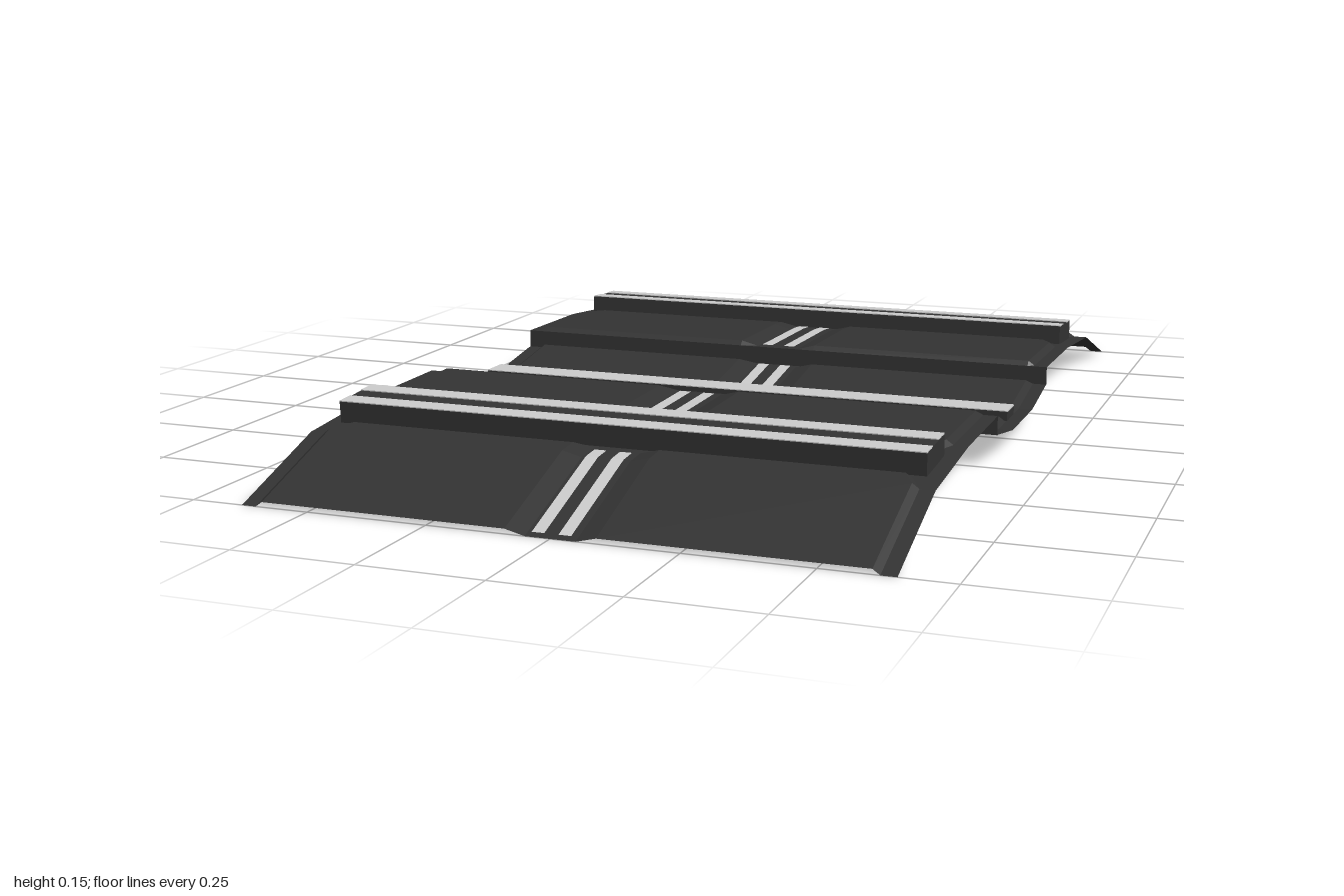
import * as THREE from 'three';

const dark = new THREE.MeshStandardMaterial({ color: 0x333333, flatShading: true, side: THREE.DoubleSide });
const light = new THREE.MeshStandardMaterial({ color: 0xcccccc, flatShading: true, side: THREE.DoubleSide });

// Rows from the middle outwards: z, base height, panel relief, half width of the raised panel
const half = [
  [0, 0.047, 0.01, 0.605], [0.1, 0.047, 0.01, 0.605], [0.24, 0.07, 0.01, 0.605],
  [0.25, 0.071, 0, 0.605], [0.25, 0.111, 0, 0.605], [0.26, 0.111, 0.01, 0.605],
  [0.5, 0.108, 0.01, 0.605], [0.55, 0.104, 0.01, 0.58], [0.56, 0.103, 0, 0.57],
  [0.69, 0.092, 0, 0.57], [0.7, 0.091, 0.01, 0.58], [0.75, 0.087, 0.01, 0.605],
  [1, 0.002, 0.01, 0.605],
];
const rows = [...half.slice(1).reverse().map(([z, ...r]) => [-z, ...r]), ...half];

// Base height at z, taken inside or outside the step
function baseAt(z) {
  const a = Math.abs(z);
  for (let i = 1; i < half.length; i++) {
    const [z0, y0] = half[i - 1], [z1, y1] = half[i];
    if (a <= z1 && z1 > z0) return y0 + (y1 - y0) * (a - z0) / (z1 - z0);
  }
  return half[half.length - 1][1];
}

// Joins equal-length cross-sections, ordered by rising z and rising x, into a surface
function loft(sections) {
  const n = sections[0].length, index = [];
  for (let j = 0; j < sections.length - 1; j++) {
    for (let i = 0; i < n - 1; i++) {
      const a = j * n + i, b = a + n;
      index.push(a, b, a + 1, a + 1, b, b + 1);
    }
  }
  const g = new THREE.BufferGeometry();
  g.setAttribute('position', new THREE.Float32BufferAttribute(sections.flat(2), 3));
  g.setIndex(index);
  g.computeVertexNormals();
  return g;
}

function add(parent, name, geometry, material, x = 0, y = 0, z = 0) {
  const m = new THREE.Mesh(geometry, material);
  m.name = name;
  m.position.set(x, y, z);
  parent.add(m);
  return m;
}

export function createModel() {
  const model = new THREE.Group();
  model.name = 'panelledSheet';

  // Bent sheet with raised panels, low side margins and a centre groove
  add(model, 'sheet', loft(rows.map(([z, y, r, e]) => [
    [-0.642, 0], [-e - 0.007, 0], [-e + 0.007, r], [-0.09, r], [-0.05, 0],
    [0.05, 0], [0.09, r], [e - 0.007, r], [e + 0.007, 0], [0.642, 0],
  ].map(([x, d]) => [x, y + d, z]))), dark);

  // Pairs of narrow strips along the groove, shown above and below the sheet
  const spans = [[0.055, 0.1, 0.24], [0.265, 0.5, 0.545], [0.71, 0.75, 0.99]];
  for (const span of spans) {
    for (const side of [1, -1]) {
      const zs = side > 0 ? span : span.map(z => -z).reverse();
      for (const x of [-0.028, 0.025]) {
        for (const lift of [0.003, -0.003]) {
          add(model, 'grooveStrip', loft(zs.map(z => [-0.0125, 0.0125].map(d => [x + d, baseAt(z) + lift, z]))), light);
        }
      }
    }
  }

  // Cross bars with two light strips on top and one underneath
  for (const side of [1, -1]) {
    const bar = new THREE.Group();
    bar.name = 'crossBar';
    bar.position.set(0, 0.12, side * 0.627);
    bar.rotation.x = side * 0.06;
    add(bar, 'barBody', new THREE.BoxGeometry(1.22, 0.044, 0.126), dark);
    for (const z of [-0.042, 0.042]) {
      add(bar, 'barStrip', new THREE.BoxGeometry(1.22, 0.003, 0.041), light, 0, 0.0225, z);
    }
    add(bar, 'underStrip', new THREE.BoxGeometry(1.22, 0.003, 0.055), light, 0, -0.0255, 0);
    model.add(bar);
  }

  // Low middle bar
  add(model, 'middleBar', new THREE.BoxGeometry(1.23, 0.02, 0.066), dark, 0, 0.059);
  add(model, 'middleStrip', new THREE.BoxGeometry(1.23, 0.003, 0.066), light, 0, 0.0695);
  add(model, 'middleUnderStrip', new THREE.BoxGeometry(1.23, 0.003, 0.055), light, 0, 0.0445);

  return model;
}
